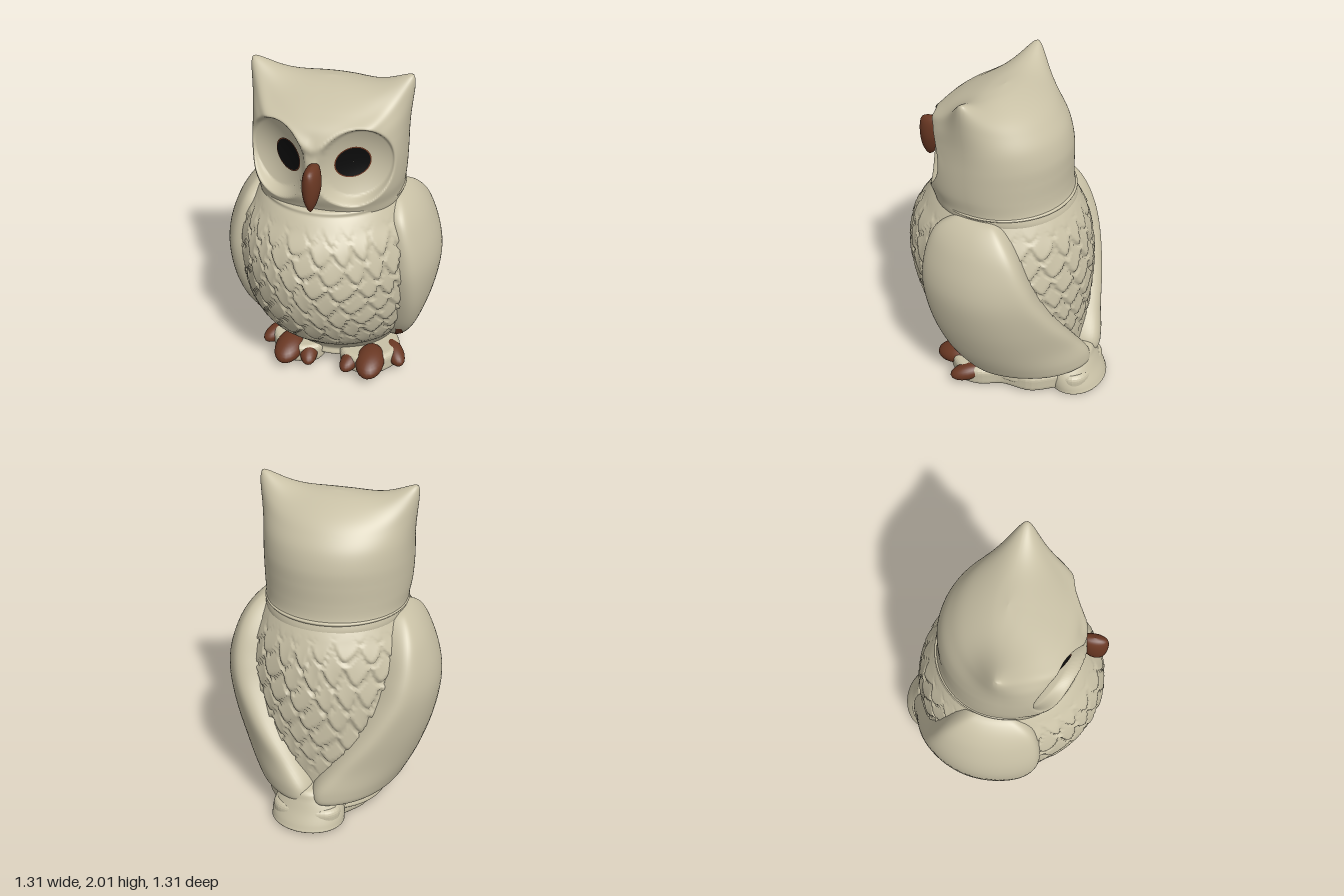
import * as THREE from 'three';

const plaster = new THREE.MeshStandardMaterial({ color: 0xc9c1a6 });
plaster.name = 'cream plaster';
const brown = new THREE.MeshStandardMaterial({ color: 0x6a3823 });
brown.name = 'russet brown';
const black = new THREE.MeshStandardMaterial({ color: 0x0c0c0c });
black.name = 'eye black';

// Smooth interpolation through a list of profile rows
function sample(rows, t) {
  const f = t * (rows.length - 1);
  const i = Math.min(Math.floor(f), rows.length - 2);
  const s = f - i;
  const at = (k) => rows[Math.max(0, Math.min(rows.length - 1, k))];
  return rows[i].map((_, c) => {
    const [a, b, d, e] = [at(i - 1)[c], at(i)[c], at(i + 1)[c], at(i + 2)[c]];
    return b + 0.5 * s * (d - a + s * (2 * a - 5 * b + 4 * d - e + s * (3 * (b - d) + e - a)));
  });
}

// Grid surface from fn(v, u) -> [x, y, z]; wrap closes it around u
function grid(nv, nu, fn, wrap, flip = false) {
  const pos = [], idx = [];
  const cols = wrap ? nu : nu + 1;
  for (let i = 0; i <= nv; i++) for (let j = 0; j < cols; j++) pos.push(...fn(i / nv, j / nu));
  for (let i = 0; i < nv; i++) for (let j = 0; j < nu; j++) {
    const a = i * cols + j, b = i * cols + ((j + 1) % cols), c = a + cols, d = b + cols;
    if (flip) idx.push(a, c, b, b, c, d);
    else idx.push(a, b, c, b, d, c);
  }
  const g = new THREE.BufferGeometry();
  g.setAttribute('position', new THREE.Float32BufferAttribute(pos, 3));
  g.setIndex(idx);
  g.computeVertexNormals();
  return g;
}

// Stacked oval sections, rows are [y, centreX, halfWidth, frontZ, backZ]
function loft(rows, nv, nu, shape = (p) => p, power = 2) {
  return grid(nv, nu, (v, u) => {
    const [y, cx, w, zf, zb] = sample(rows, v);
    const th = u * Math.PI * 2, s = Math.sin(th), c = Math.cos(th);
    const e = c > 0 ? 2 / power : 1;
    const x = cx + w * Math.sign(s) * Math.abs(s) ** e;
    const z = (zf + zb) / 2 + ((zf - zb) / 2) * Math.sign(c) * Math.abs(c) ** e;
    return shape([x, y, z], th);
  }, true);
}

const { smoothstep: smooth, lerp, degToRad } = THREE.MathUtils;

// Overlapping, slightly irregular feathers, thickest near the lower tip
function feathers([x, y, z], th) {
  const v = y / 0.13 + 0.22 * Math.sin(3 * th + 6 * y) + 0.12 * Math.sin(7 * th);
  const k = Math.floor(v);
  const lap = (row) => {
    const u = (th / (Math.PI * 2)) * 24 + (row & 1) * 0.5 + 0.16 * Math.sin(9 * y + 5 * th);
    const f = Math.abs(u - Math.floor(u) - 0.5) * 2;
    return v - row - 0.8 * f ** 1.7;
  };
  let t = lap(k);
  if (t < 0) t = lap(k - 1);
  const fade = smooth(y, 0.28, 0.5) * (1 - smooth(y, 1.05, 1.25));
  const d = 0.026 * fade * (smooth(t, 0, 0.3) * (1.1 - t / 2) - 0.5);
  return [x + d * Math.sin(th), y, z + d * Math.cos(th)];
}

// Depth of the dished eye socket, and its normalised distance from the centre
const socketR = (x, y) => Math.hypot((Math.abs(x) - 0.225) / 0.205, (y - 1.572) / 0.237);
const socketZ = (x, y) => 0.49 - 0.54 * Math.abs(x) - 0.07 * (1 - socketR(x, y) ** 2);

// Dish the sockets, raise a brow line above them and draw out the ear tufts
function sculptHead([x, y, z]) {
  const side = Math.sign(x), ax = Math.abs(x), d = socketR(x, y);
  const tuft = Math.exp(-((Math.hypot(ax - 0.365, y - 1.85, z - 0.07) / 0.105) ** 1.5));
  if (z > 0.06) {
    const brow = Math.exp(-(((y - 1.69 - 0.38 * ax) / 0.035) ** 2)) * (1 - smooth(ax, 0.3, 0.42));
    z += 0.02 * brow;
    if (d < 1) z = lerp(z, socketZ(x, y), 1 - smooth(d, 0.84, 1));
  }
  return [x + side * 0.092 * tuft, y + 0.155 * tuft, z];
}

// Flat ring laid onto the socket surface
function socketRing(cx, inner, outer, lift) {
  const g = new THREE.RingGeometry(inner, outer, 40, 6);
  const p = g.attributes.position;
  for (let i = 0; i < p.count; i++) {
    const x = p.getX(i) + cx, y = p.getY(i) * 1.04 + 1.57;
    p.setXYZ(i, x, y, socketZ(x, y) + lift);
  }
  g.computeVertexNormals();
  return g;
}

// Wing shell rows: [y, halfWidth, frontDepth, backDepth, frontAngle, backAngle]
const wingRows = [
  [0.155, 0.37, 0.42, 0.48, 88, 180], [0.17, 0.45, 0.54, 0.57, 86, 180],
  [0.25, 0.5, 0.58, 0.58, 76, 180], [0.4, 0.565, 0.6, 0.56, 65, 168],
  [0.6, 0.625, 0.62, 0.565, 57, 152], [0.8, 0.655, 0.62, 0.57, 52, 139],
  [0.95, 0.64, 0.62, 0.565, 52, 131], [1.1, 0.588, 0.6, 0.54, 54, 123],
  [1.2, 0.528, 0.58, 0.48, 59, 116], [1.265, 0.46, 0.5, 0.4, 67, 108],
  [1.285, 0.4, 0.4, 0.3, 75, 100],
];

function wingPoint(side, v, k, lift) {
  const [y, w, df, db, a0, a1] = sample(wingRows, v);
  const th = degToRad(a0 + (a1 - a0) * k);
  const r = 1 - 0.2 * Math.abs(2 * k - 1) ** 14;
  const c = Math.cos(th);
  return [side * w * r * Math.sin(th), y, r * c * (c > 0 ? df : db) + lift];
}

export function createModel() {
  const owl = new THREE.Group();
  owl.name = 'owl';
  const add = (name, geometry, material) => {
    const m = new THREE.Mesh(geometry, material);
    m.name = name;
    owl.add(m);
    return m;
  };

  add('body', loft([
    [0.05, 0, 0, -0.1, -0.1], [0.06, 0, 0.33, 0.19, -0.44], [0.12, 0, 0.37, 0.21, -0.46],
    [0.2, 0, 0.41, 0.275, -0.46], [0.3, 0, 0.45, 0.39, -0.465], [0.4, 0, 0.48, 0.475, -0.47],
    [0.6, 0, 0.52, 0.585, -0.485], [0.8, 0, 0.535, 0.635, -0.49], [0.95, 0, 0.53, 0.637, -0.475],
    [1.1, 0, 0.5, 0.6, -0.445], [1.2, 0, 0.455, 0.54, -0.405], [1.27, 0, 0.42, 0.485, -0.365],
    [1.31, 0, 0.395, 0.43, -0.335], [1.32, 0, 0, 0.05, 0.05],
  ], 140, 220, feathers), plaster);

  add('head', loft([
    [1.16, 0, 0.38, 0.4, -0.38], [1.25, 0, 0.419, 0.43, -0.377], [1.32, 0, 0.424, 0.455, -0.355],
    [1.4, 0, 0.435, 0.488, -0.347],
    [1.5, 0, 0.44, 0.5, -0.345], [1.6, 0, 0.44, 0.49, -0.338], [1.7, 0, 0.433, 0.46, -0.308],
    [1.78, 0, 0.415, 0.42, -0.255], [1.84, 0, 0.38, 0.335, -0.195], [1.89, 0, 0.31, 0.235, -0.115],
    [1.925, 0, 0.2, 0.14, -0.03], [1.94, 0, 0, 0.05, 0.05],
  ], 120, 200, sculptHead, 2.4), plaster);

  add('beak', loft([
    [1.355, 0.02, 0, 0.56, 0.56], [1.38, 0.02, 0.018, 0.585, 0.525], [1.43, 0.02, 0.038, 0.605, 0.49],
    [1.5, 0.02, 0.051, 0.613, 0.46], [1.57, 0.02, 0.046, 0.61, 0.45], [1.61, 0.02, 0.028, 0.59, 0.46],
    [1.624, 0.02, 0, 0.53, 0.53],
  ], 24, 28), brown);

  // Eyes
  for (const [name, cx] of [['left', 0.195], ['right', -0.17]]) {
    add(name + 'Pupil', socketRing(cx, 0.001, 0.084, 0.008), black);
    add(name + 'EyeRim', socketRing(cx, 0.078, 0.09, 0.006), brown);
  }

  // Paired parts
  for (const [name, s] of [['left', 1], ['right', -1]]) {
    add(name + 'Wing', grid(60, 48, (v, u) =>
      wingPoint(s, v, 0.5 - 0.5 * Math.cos(Math.PI * u), 0), false, s < 0), plaster);

    // Brown fleck along the lower front edge of the wing
    add(name + 'WingFleck', grid(12, 6, (v, u) =>
      wingPoint(s, lerp(0.165, 0.265, v), lerp(0.012, 0.055 - 0.025 * v, u), 0.006), false, s < 0), brown);

    // Toes: [x, y, z, halfWidth, halfHeight, halfLength, yaw]
    for (const [x, y, z, w, h, l, yaw] of [
      [0.14, 0.085, 0.24, 0.058, 0.05, 0.11, -0.25],
      [0.265, 0.102, 0.25, 0.09, 0.065, 0.135, 0.08],
      [0.39, 0.09, 0.11, 0.058, 0.052, 0.11, 0.6],
    ]) {
      const toe = add(name + 'Toe', new THREE.SphereGeometry(1, 20, 14), brown);
      toe.scale.set(w, h, l);
      toe.position.set(0.03 + s * x, y, z);
      toe.rotation.set(0.2, s * yaw, 0, 'YXZ');
    }
  }

  // Scalloped base joining feet and tail
  const half = [[0.06, 0.1], [0.1, 0.23], [0.26, 0.27], [0.38, 0.15], [0.38, 0.03],
    [0.31, -0.1], [0.29, -0.28], [0.19, -0.42], [0.18, -0.52], [0.1, -0.57]];
  const shape = new THREE.Shape();
  shape.moveTo(0, -0.06);
  shape.splineThru([
    ...half.map(([x, z]) => new THREE.Vector2(x, -z)),
    ...half.reverse().map(([x, z]) => new THREE.Vector2(-x, -z)),
    new THREE.Vector2(0, -0.06),
  ]);
  const base = new THREE.ExtrudeGeometry(shape, {
    depth: 0.05, bevelThickness: 0.04, bevelSize: 0.035, bevelOffset: -0.01, bevelSegments: 5, curveSegments: 5,
  });
  base.rotateX(-Math.PI / 2).translate(0.03, 0.05, 0);
  add('base', base, plaster);

  // Tail
  add('tail', loft([
    [0.0, 0.03, 0, -0.45, -0.45], [0.01, 0.03, 0.2, -0.32, -0.635], [0.04, 0.03, 0.225, -0.3, -0.645],
    [0.12, 0.03, 0.21, -0.3, -0.605], [0.19, 0.03, 0.16, -0.3, -0.575], [0.24, 0.03, 0.1, -0.32, -0.55],
    [0.26, 0.03, 0, -0.45, -0.45],
  ], 28, 48), plaster);

  return owl;
}
